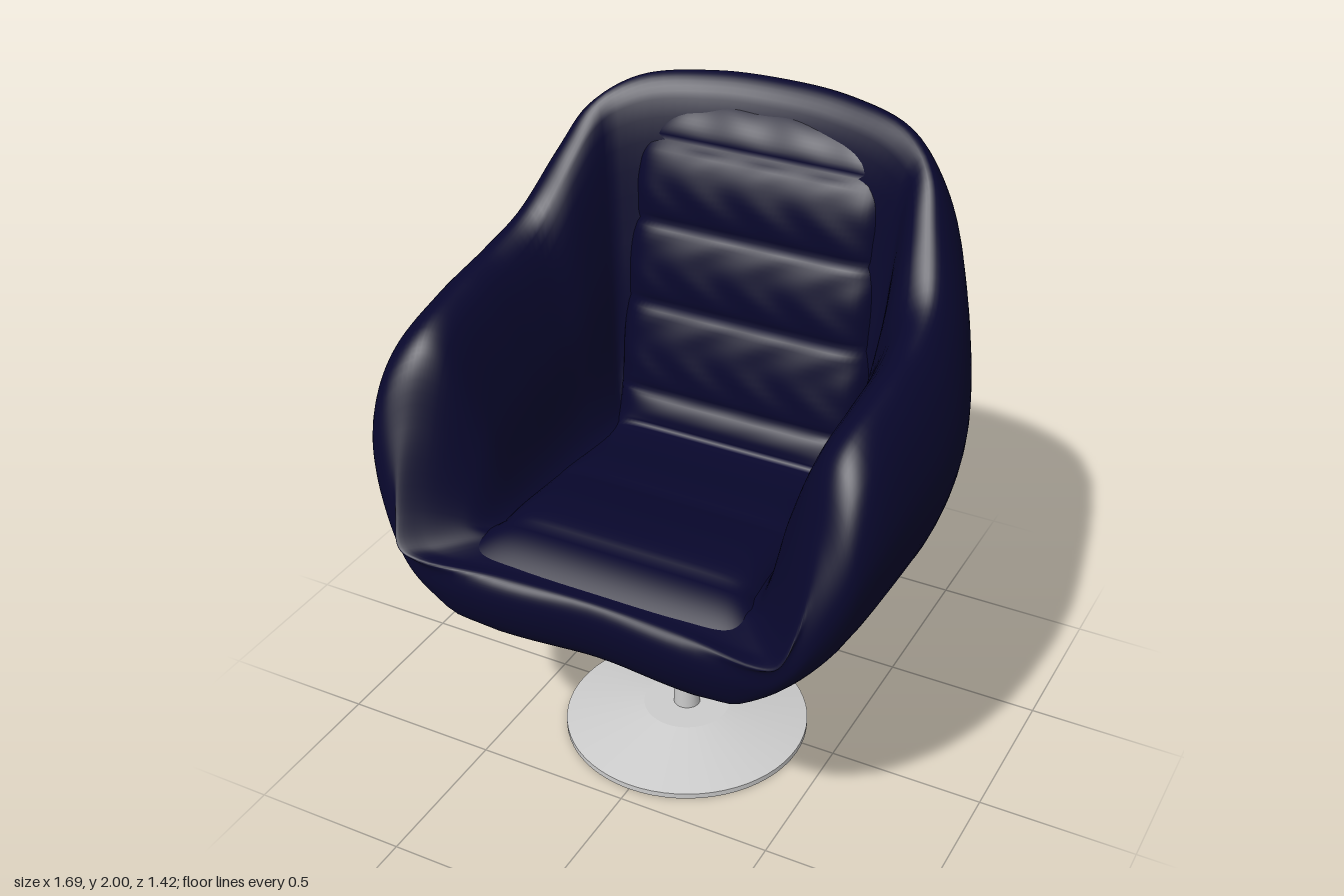
import * as THREE from 'three';
import { mergeVertices } from 'three/addons/utils/BufferGeometryUtils.js';

const V = (x, y, z) => new THREE.Vector3(x, y, z);
const lerp = THREE.MathUtils.lerp;

// Smooth surface from a rule point(i, j) on a grid of nu x nv cells
function gridSurface(nu, nv, point) {
  const pos = [], index = [];
  for (let j = 0; j <= nv; j++)
    for (let i = 0; i <= nu; i++) pos.push(...point(i, j).toArray());
  for (let j = 0; j < nv; j++)
    for (let i = 0; i < nu; i++) {
      const a = j * (nu + 1) + i, b = a + nu + 1;
      index.push(a, a + 1, b + 1, a, b + 1, b);
    }
  const g = new THREE.BufferGeometry();
  g.setAttribute('position', new THREE.Float32BufferAttribute(pos, 3));
  g.setIndex(index);
  const merged = mergeVertices(g, 1e-4);
  merged.computeVertexNormals();
  return merged;
}

// Crest of the tub: seat lip, front corner, arm top, wing, head
const CREST = [
  [0, 0.85, 0.645], [0.3, 0.85, 0.66], [0.55, 0.855, 0.7], [0.615, 0.88, 0.7],
  [0.645, 0.97, 0.655], [0.655, 1.2, 0.56], [0.66, 1.39, 0.475], [0.675, 1.455, 0.4],
  [0.69, 1.505, 0.2], [0.69, 1.54, 0], [0.67, 1.605, -0.16], [0.615, 1.765, -0.29],
  [0.56, 1.885, -0.38], [0.44, 1.965, -0.48], [0.22, 1.995, -0.55], [0, 2, -0.57],
];
const ZC = 0.12;
const BOTTOM = 0.56;

// Outer belly rings: height fraction, half width, front z, back z
const RINGS = [
  [0.04, 0.32, 0.5, -0.27],
  [0.14, 0.56, 0.6, -0.54],
  [0.355, 0.755, 0.67, -0.675],
  [0.68, 0.845, 0.7, -0.715],
];

// Radius of a rounded ring in direction (s, c) seen from above; the front is slightly hollow
function ringRadius(s, c, w, front, back) {
  const d = c > 0 ? front - ZC : ZC - back;
  const n = c > 0 ? 2.15 + 2.3 * Math.min(1, c * 2) : 2.15;
  const r = Math.pow(Math.pow(Math.abs(s) / w, n) + Math.pow(Math.abs(c) / d, n), -1 / n);
  return c > 0 ? r - 0.035 * c ** 8 : r;
}

// The underside rises from the middle to the sides along an ellipse
const keelHeight = (x) => 1.2 - 0.64 * Math.sqrt(Math.max(0, 1 - (x / 0.85) ** 2));

// Tub: every column runs from underneath, over the crest, down to the seat floor
function tubGeometry() {
  const half = CREST.map((p) => V(...p));
  const other = half.slice(1, -1).reverse().map((p) => V(-p.x, p.y, p.z));
  const crest = new THREE.CatmullRomCurve3([...half, ...other], true, 'centripetal');
  const nu = 180, nv = 72, FY = 0.87, columns = [];
  for (let i = 0; i <= nu; i++) {
    const c = crest.getPoint((i % nu) / nu);
    const r = Math.hypot(c.x, c.z - ZC), s = c.x / r, k = (c.z - ZC) / r;
    const at = (rad, y) => V(s * rad, y, ZC + k * rad);
    const pts = [V(0, BOTTOM, ZC)];
    let belly = 0;
    for (const [f, w, front, back] of RINGS) {
      belly = ringRadius(s, k, w, front, back);
      const y = lerp(BOTTOM, c.y, f);
      pts.push(at(belly, k > 0 ? Math.max(y, keelHeight(s * belly)) : y));
    }
    pts.push(at(lerp(r, belly, 0.58 + 0.22 * k * k), lerp(BOTTOM, c.y, 0.915)));
    pts.push(c);
    // Inner wall down to a squared seat floor
    const floor = Math.min(0.42 / Math.max(Math.abs(s), 1e-6),
      (k > 0 ? 0.36 : 0.42) / Math.max(Math.abs(k), 1e-6));
    pts.push(at(lerp(r, floor, 0.27), lerp(FY, c.y, 0.95)));
    pts.push(at(lerp(r, floor, 0.58 + 0.14 * s * s), lerp(FY, c.y, 0.52)));
    pts.push(at(lerp(r, floor, 0.94), lerp(FY, c.y, 0.08)));
    pts.push(at(floor * 0.9, FY - 0.01));
    pts.push(V(0, FY - 0.02, ZC));
    columns.push(new THREE.CatmullRomCurve3(pts, false, 'centripetal').getPoints(nv));
  }
  return gridSurface(nu, nv, (i, j) => columns[i][j]);
}

// Quilted lining: seams along the seat and up the back, as [z, y]
const SEAMS = [
  [0.65, 0.81], [0.46, 0.905], [0.13, 0.9], [-0.22, 0.895], [-0.265, 1.0],
  [-0.315, 1.29], [-0.36, 1.55], [-0.42, 1.8], [-0.55, 1.94],
];
function liningGeometry() {
  const path = new THREE.CatmullRomCurve3(SEAMS.map(([z, y]) => V(0, y, z)), false, 'centripetal');
  const rolls = SEAMS.length - 1, per = 14, nu = 56;
  return gridSurface(nu, rolls * per, (i, j) => {
    const t = j / (rolls * per), e = (i / nu) * 2 - 1;
    const p = path.getPoint(t), d = path.getTangent(t);
    const flare = THREE.MathUtils.clamp((p.z - 0.44) / 0.2, 0, 1);
    const isBack = THREE.MathUtils.smoothstep(p.y, 0.92, 1.1);
    const taper = THREE.MathUtils.smoothstep(p.y, 1.8, 1.94);
    const x = e * (0.42 + 0.13 * flare + 0.03 * isBack - 0.1 * taper);
    const roll = Math.sqrt(Math.abs(Math.sin(Math.PI * t * rolls)));
    const depth = j < per * 3 ? 0.012 : 0.028;
    // Light creasing on the upholstery of the back
    const crease = 0.0025 * isBack * roll * Math.sin(x * 31 + Math.sin(p.y * 23) * 2);
    const lift = depth * roll * (1 - e ** 6) + crease - (0.04 + 0.05 * isBack) * e ** 12;
    return V(x, p.y - d.z * lift, p.z + d.y * lift);
  });
}

export function createModel() {
  const group = new THREE.Group();
  const fabric = new THREE.MeshStandardMaterial({ color: 0x08072c, side: THREE.DoubleSide });
  const metal = new THREE.MeshStandardMaterial({ color: 0xcccccc });
  const add = (name, geometry, material, y = 0, z = 0) => {
    const mesh = new THREE.Mesh(geometry, material);
    mesh.name = name;
    mesh.position.set(0, y, z);
    group.add(mesh);
  };

  add('tubShell', tubGeometry(), fabric);
  add('quiltedLining', liningGeometry(), fabric);

  // Swivel pedestal
  const PZ = 0.055;
  add('mountingPlate', new THREE.CylinderGeometry(0.245, 0.245, 0.065, 64), metal, 0.5675, PZ);
  add('column', new THREE.CylinderGeometry(0.043, 0.043, 0.49, 32), metal, 0.3, PZ);
  add('baseRim', new THREE.CylinderGeometry(0.395, 0.395, 0.018, 64), metal, 0.009, PZ);
  add('baseCone', new THREE.CylinderGeometry(0.14, 0.395, 0.055, 64), metal, 0.0455, PZ);
  return group;
}
